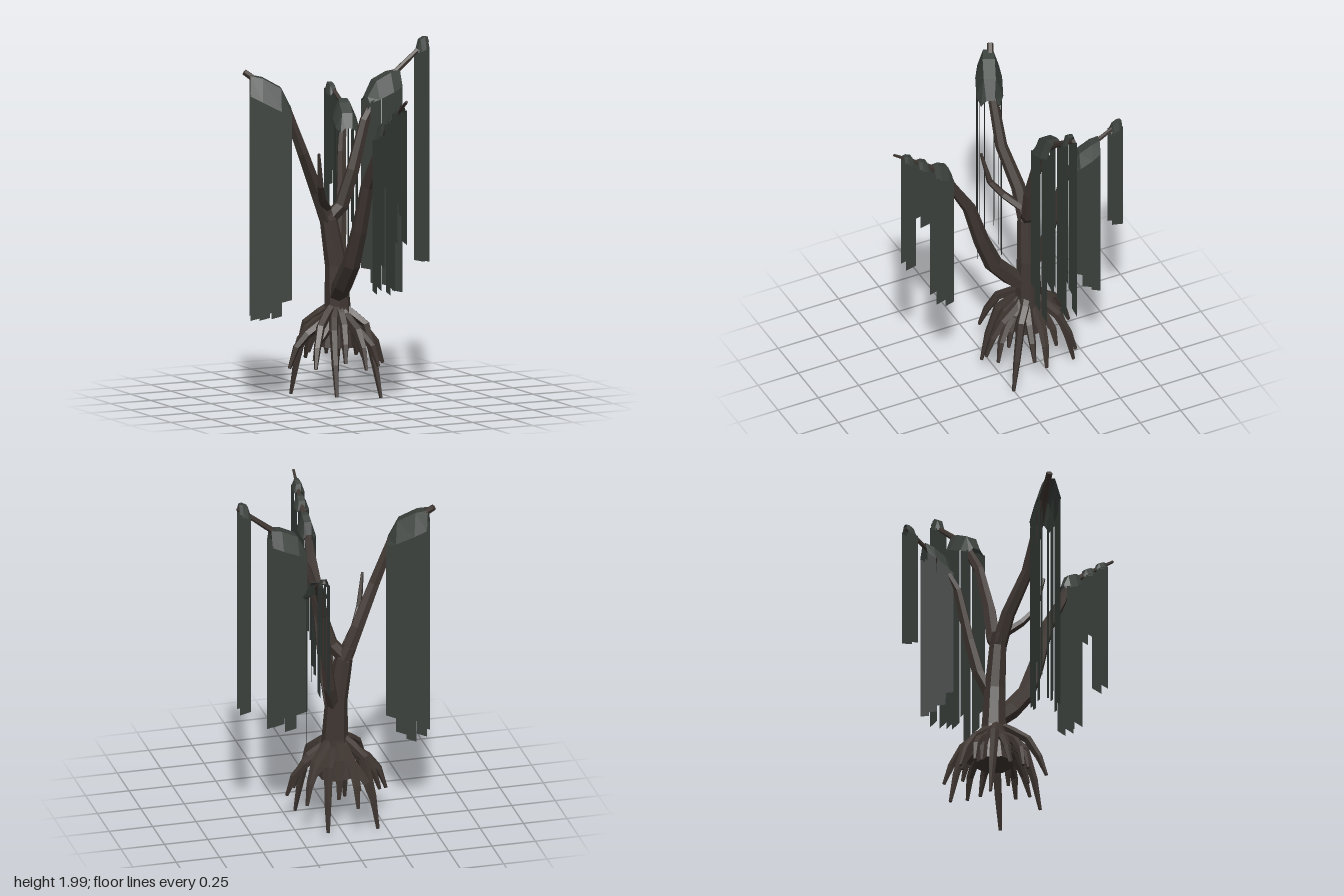
import * as THREE from 'three';

const bark = new THREE.MeshStandardMaterial({ color: 0x3f3631, flatShading: true });
const leaf = new THREE.MeshStandardMaterial({ color: 0x3a403c, flatShading: true, side: THREE.DoubleSide });
const V = (x, y, z) => new THREE.Vector3(x, y, z);

// Skin a row of cross-sections with flat faces; closed ones get end faces
function loft(rings, closed) {
  const pos = [];
  const tri = (...p) => p.forEach(v => pos.push(v.x, v.y, v.z));
  const n = rings[0].length;
  for (let r = 0; r + 1 < rings.length; r++) {
    const a = rings[r], b = rings[r + 1];
    for (let i = 0; i < (closed ? n : n - 1); i++) {
      const j = (i + 1) % n;
      tri(a[i], a[j], b[j]);
      tri(a[i], b[j], b[i]);
    }
  }
  const first = rings[0], last = rings[rings.length - 1];
  for (let i = 1; closed && i + 1 < n; i++) {
    tri(first[0], first[i + 1], first[i]);
    tri(last[0], last[i], last[i + 1]);
  }
  const g = new THREE.BufferGeometry();
  g.setAttribute('position', new THREE.Float32BufferAttribute(pos, 3));
  g.computeVertexNormals();
  return g;
}

// Tapering limb through points [x, y, z, radius]
function limb(name, points, sides = 6) {
  const p = points.map(q => V(q[0], q[1], q[2]));
  const tangent = i => p[Math.min(i + 1, p.length - 1)].clone().sub(p[Math.max(i - 1, 0)]).normalize();
  let t = tangent(0);
  let u = V(1, 0, 0.3).cross(t).normalize();
  const rings = p.map((c, i) => {
    const next = tangent(i);
    u = u.clone().applyQuaternion(new THREE.Quaternion().setFromUnitVectors(t, next));
    t = next;
    const w = t.clone().cross(u);
    return Array.from({ length: sides }, (_, k) => {
      const a = (k / sides) * Math.PI * 2, r = points[i][3];
      return c.clone().addScaledVector(u, Math.cos(a) * r).addScaledVector(w, Math.sin(a) * r);
    });
  });
  const mesh = new THREE.Mesh(loft(rings, true), bark);
  mesh.name = name;
  return mesh;
}

// Leaf clump: an open arched cap over the branch with flat strands hanging below it
function clump(name, { at, dir, len, wide, high, slope, bottom, cols }) {
  const g = new THREE.Group();
  g.name = name;
  g.position.set(at[0], 0, at[2]);
  g.rotation.y = Math.atan2(-dir[1], dir[0]);
  const base = x => at[1] + slope * x;
  const caps = [[-1, 0.7, 0.3], [-0.5, 1, 0.95], [0.4, 1, 1], [1, 0.8, 0.85]];
  const cap = new THREE.Mesh(loft(caps.map(([s, ws, hs]) => {
    const x = s * len, w = wide * ws, y = base(x), h = high * hs;
    return [V(x, y, -w), V(x, y + h, -w * 0.45), V(x, y + h, w * 0.45), V(x, y, w)];
  }), false), leaf);
  cap.name = 'leafCap';
  g.add(cap);

  // Strands lie in upright planes along the branch, the inner ones sparser and shorter
  const pos = [];
  [-0.92, -0.35, 0.35, 0.92].forEach((off, row) => {
    const inner = row === 1 || row === 2;
    for (let c = 0; c < cols; c++) {
      if (inner && cols > 2 && (c + row) % 2) continue;
      const step = (2 * len) / cols;
      const x0 = -len + c * step, x1 = x0 + step * (inner ? 0.7 : 1);
      const wave = ((row * 5 + c * 3) % 7) * 0.01;
      const innermost = cols > 2 && c === 0 ? 0.12 : 0;
      const drop = bottom + wave + innermost + (inner ? 0.1 * row : 0);
      const z = off * wide * (Math.abs(x0 + x1) > len * 1.2 ? 0.85 : 1);
      const a = [x0, base(x0) + 0.01, z], b = [x1, base(x1) + 0.01, z];
      const d = [x0, drop + 0.015, z], e = [x1, drop, z];
      pos.push(...a, ...d, ...e, ...a, ...e, ...b);
    }
  });
  const geo = new THREE.BufferGeometry();
  geo.setAttribute('position', new THREE.Float32BufferAttribute(pos, 3));
  geo.computeVertexNormals();
  const strands = new THREE.Mesh(geo, leaf);
  strands.name = 'hangingStrands';
  g.add(strands);
  return g;
}

export function createModel() {
  const model = new THREE.Group();
  model.name = 'weepingTree';

  // Trunk and main branches
  model.add(
    limb('trunk', [[-0.01, 0.29, -0.18, 0.11], [-0.005, 0.4, -0.18, 0.09], [0, 0.52, -0.18, 0.073],
      [-0.01, 0.75, -0.18, 0.062], [-0.05, 1.0, -0.19, 0.05], [-0.08, 1.07, -0.2, 0.042]], 8),
    limb('leftBranch', [[-0.06, 1.0, -0.19, 0.045], [-0.13, 1.17, -0.18, 0.04], [-0.24, 1.4, -0.13, 0.034],
      [-0.34, 1.65, -0.13, 0.028], [-0.43, 1.76, -0.16, 0.022], [-0.56, 1.865, -0.22, 0.018]]),
    limb('rightBranch', [[-0.07, 0.98, -0.2, 0.04], [0.02, 1.08, -0.17, 0.042], [0.08, 1.28, -0.15, 0.038],
      [0.16, 1.55, -0.16, 0.03], [0.27, 1.73, -0.17, 0.024], [0.37, 1.82, -0.17, 0.017], [0.56, 1.97, -0.18, 0.012]]),
    limb('frontBranch', [[-0.01, 0.56, -0.18, 0.05], [-0.02, 0.65, -0.08, 0.055], [-0.02, 0.78, 0.03, 0.052],
      [-0.01, 0.98, 0.11, 0.045], [0, 1.24, 0.19, 0.037], [0.01, 1.43, 0.3, 0.028], [0.015, 1.56, 0.36, 0.02],
      [0.015, 1.65, 0.47, 0.014], [0.01, 1.78, 0.66, 0.008]]),
    limb('backBranch', [[0, 0.68, -0.18, 0.04], [0.05, 0.85, -0.25, 0.037], [0.08, 1.05, -0.29, 0.032],
      [0.11, 1.35, -0.35, 0.026], [0.16, 1.52, -0.43, 0.022], [0.19, 1.6, -0.51, 0.014], [0.19, 1.68, -0.65, 0.01]]),
    limb('brokenTwig', [[-0.07, 1.07, -0.17, 0.025], [-0.14, 1.14, -0.09, 0.022], [-0.18, 1.22, -0.03, 0.018],
      [-0.21, 1.41, 0.01, 0.008]], 5),
  );

  // Roots: offsets from the trunk and tip height, paired by a half turn
  const roots = [
    [0.19, 0.18, 0.01], [-0.11, 0.23, 0.04], [-0.28, -0.02, 0.18], [-0.22, 0.19, 0.2], [0.05, 0.28, 0.19],
    [0.14, 0.25, 0.2], [-0.04, 0.2, 0.22], [0.23, 0.07, 0.2], [-0.18, 0.09, 0.23], [0.09, 0.16, 0.24],
  ];
  roots.forEach(([rx, rz, tip], i) => {
    for (const s of [1, -1]) {
      const rise = 0.025 * (i % 3);
      const side = 0.12 * (i % 2 ? 1 : -1);
      const pt = (f, y, r) => {
        const bend = side * f * (1 - f) * 2;
        return [-0.01 + s * (rx * f - rz * bend), y, -0.178 + s * (rz * f + rx * bend), r];
      };
      model.add(limb('root', [pt(0.1, 0.525 - rise, 0.023), pt(0.35, 0.475 - rise, 0.028),
        pt(0.64, 0.42 - rise, 0.026), pt(0.86, 0.19 + tip * 0.6, 0.021), pt(1, tip, 0.01)], 5));
    }
  });

  // Leaf clumps along each branch
  model.add(
    clump('leftClump', { at: [-0.43, 1.68, -0.15], dir: [-0.92, -0.39], len: 0.115, wide: 0.075, high: 0.13, slope: 0.5, bottom: 0.455, cols: 4 }),
    clump('rightClump', { at: [0.27, 1.69, -0.17], dir: [1, 0], len: 0.1, wide: 0.076, high: 0.105, slope: 0.4, bottom: 0.575, cols: 3 }),
    clump('rightTipClump', { at: [0.52, 1.92, -0.172], dir: [1, 0], len: 0.032, wide: 0.036, high: 0.07, slope: 0.4, bottom: 0.72, cols: 1 }),
    clump('backClump', { at: [0.182, 1.5, -0.44], dir: [0.25, -0.97], len: 0.078, wide: 0.066, high: 0.085, slope: 0.65, bottom: 0.59, cols: 3 }),
    clump('backTipClump', { at: [0.185, 1.64, -0.625], dir: [0, -1], len: 0.034, wide: 0.03, high: 0.05, slope: 0.4, bottom: 0.97, cols: 1 }),
    clump('frontClump', { at: [0.015, 1.53, 0.365], dir: [0, 1], len: 0.055, wide: 0.045, high: 0.085, slope: 0.4, bottom: 0.645, cols: 2 }),
    clump('frontMiddleClump', { at: [0.015, 1.63, 0.482], dir: [0, 1], len: 0.035, wide: 0.04, high: 0.055, slope: 0.4, bottom: 1.245, cols: 1 }),
    clump('frontTipClump', { at: [0.01, 1.7, 0.57], dir: [0, 1], len: 0.032, wide: 0.032, high: 0.045, slope: 0.4, bottom: 0.965, cols: 1 }),
  );
  return model;
}
